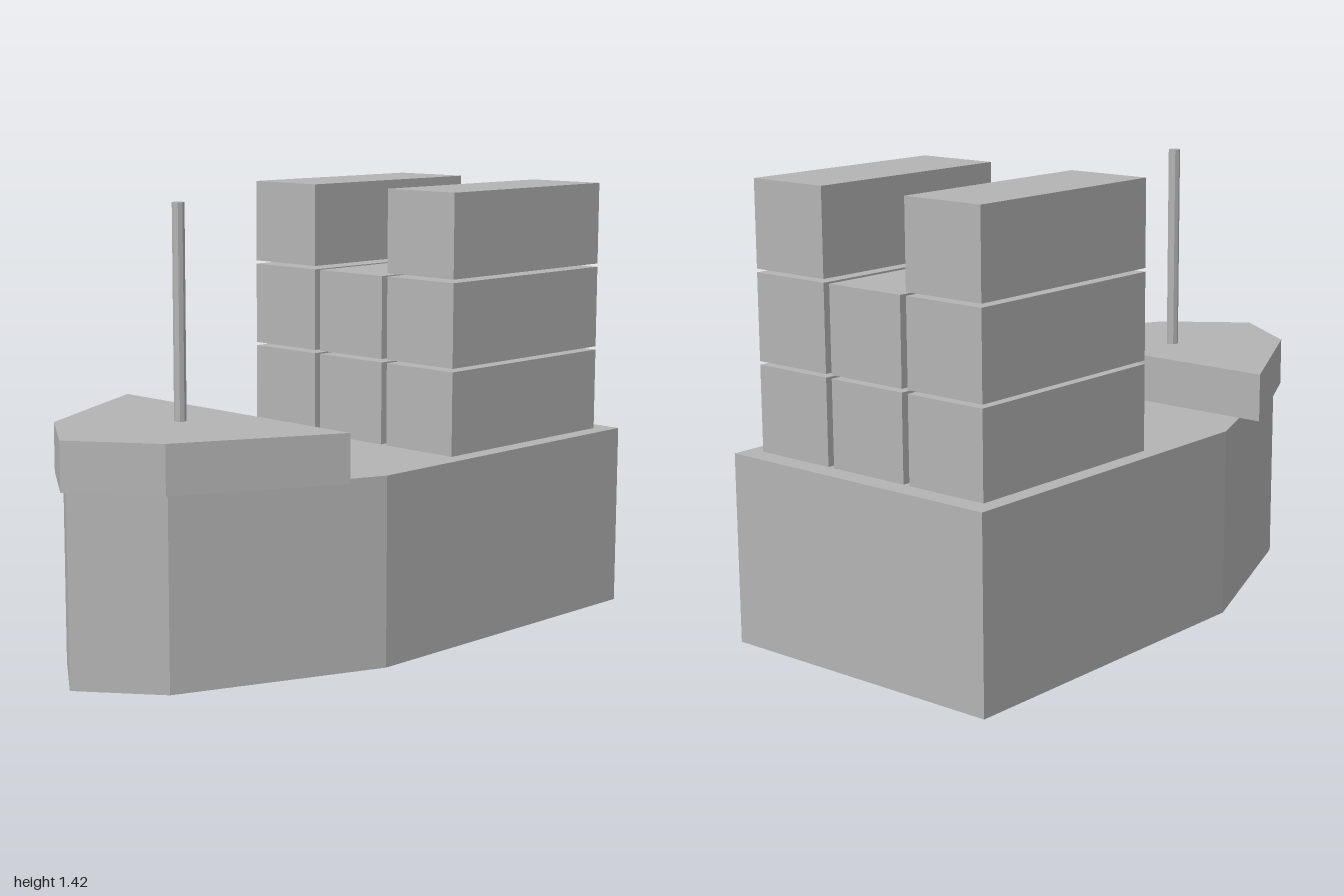
import * as THREE from 'three';

const grey = new THREE.MeshStandardMaterial({ color: 0xb4b4b4 });
grey.name = 'plain grey';

function addMesh(parent, name, geometry, x = 0, y = 0, z = 0) {
  const mesh = new THREE.Mesh(geometry, grey);
  mesh.name = name;
  mesh.position.set(x, y, z);
  parent.add(mesh);
  return mesh;
}

// Upright prism from a half outline of [x, z] points, mirrored across x = 0
function mirroredPrism(half, bottom, top) {
  const mirrored = half.filter(([x]) => x > 0).map(([x, z]) => [-x, z]).reverse();
  const outline = [...half, ...mirrored].map(([x, z]) => new THREE.Vector2(x, z));
  const geometry = new THREE.ExtrudeGeometry(new THREE.Shape(outline), {
    depth: top - bottom,
    bevelEnabled: false,
  });
  geometry.rotateX(Math.PI / 2);
  geometry.translate(0, top, 0);
  return geometry;
}

export function createModel() {
  const ship = new THREE.Group();
  ship.name = 'cargoShip';

  // Hull with a faceted, pointed bow
  const hull = [[0.495, -1], [0.495, 0.15], [0.24, 0.8], [0, 0.98]];
  addMesh(ship, 'hull', mirroredPrism(hull, 0, 0.597));

  // Raised bow deck overhanging the hull
  const bow = [[0.505, 0.32], [0.255, 0.82], [0, 1]];
  addMesh(ship, 'bowDeck', mirroredPrism(bow, 0.597, 0.75));

  // Mast standing on the bow deck
  const mast = new THREE.CylinderGeometry(0.019, 0.019, 0.66, 8).toNonIndexed();
  mast.computeVertexNormals();
  addMesh(ship, 'mast', mast, 0, 1.08, 0.537);

  // Container stacks: the middle one is a box lower
  const containers = new THREE.Group();
  containers.name = 'containers';
  ship.add(containers);
  const box = new THREE.BoxGeometry(0.279, 0.268, 0.73);
  [[-0.303, 3], [-0.001, 2], [0.301, 3]].forEach(([x, count]) => {
    for (let i = 0; i < count; i++) {
      addMesh(containers, 'container', box, x, 0.732 + i * 0.279, -0.57);
    }
  });

  return ship;
}
